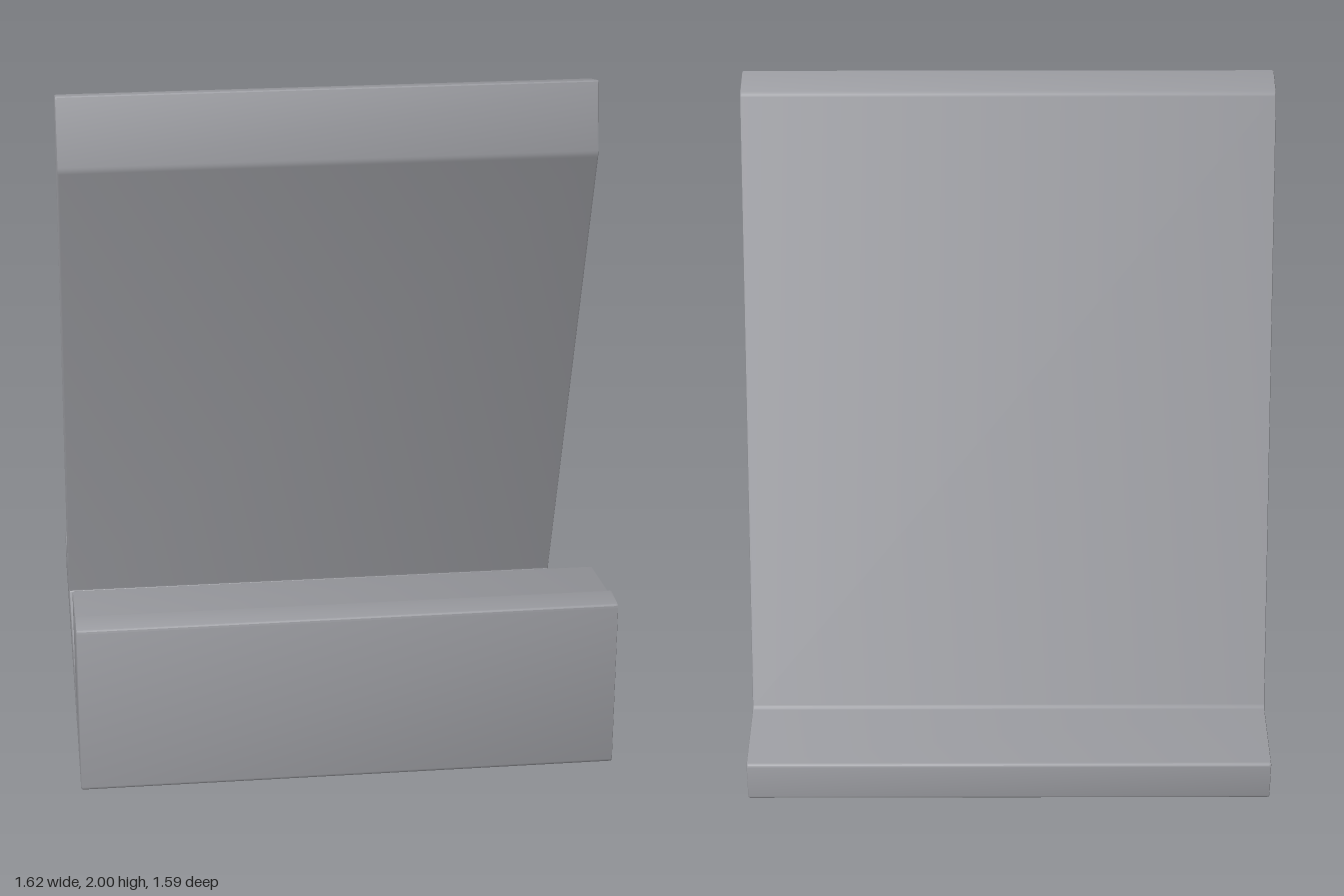
import * as THREE from 'three';
import { toCreasedNormals } from 'three/addons/utils/BufferGeometryUtils.js';

const WIDTH = 1.62;
const BEVEL = 0.006;

// Closed outline whose corners are softened by a small radius
function roundedOutline(points, radius) {
  const shape = new THREE.Shape();
  const v = points.map(([z, y]) => new THREE.Vector2(z, y));
  v.forEach((corner, i) => {
    const prev = v[(i + v.length - 1) % v.length];
    const next = v[(i + 1) % v.length];
    const toward = (p) => {
      const d = p.clone().sub(corner);
      return d.setLength(Math.min(radius, d.length() * 0.4)).add(corner);
    };
    const a = toward(prev);
    const b = toward(next);
    if (i === 0) shape.moveTo(a.x, a.y);
    else shape.lineTo(a.x, a.y);
    shape.quadraticCurveTo(corner.x, corner.y, b.x, b.y);
  });
  shape.closePath();
  return shape;
}

export function createModel() {
  const group = new THREE.Group();
  group.name = 'deviceStand';
  const grey = new THREE.MeshStandardMaterial({ color: 0x9b9ca1 });
  grey.name = 'grey';

  // Side outline as [z, y], one solid piece
  const base = [[-0.795, 0.135], [-0.795, 0], [0.795, 0]];
  const frontLedge = [[0.795, 0.533], [0.688, 0.533], [0.675, 0.511], [0.393, 0.473], [0.393, 0.135]];
  const backrest = [[-0.3, 0.135], [0.275, 1.78], [0.243, 2.001], [0.13, 1.975], [-0.512, 0.135]];
  const outline = roundedOutline([...base, ...frontLedge, ...backrest], 0.011);

  // Extruded across the width with slightly eased side edges
  const geometry = new THREE.ExtrudeGeometry(outline, {
    depth: WIDTH - 2 * BEVEL,
    curveSegments: 3,
    bevelEnabled: true,
    bevelThickness: BEVEL,
    bevelSize: BEVEL,
    bevelOffset: -BEVEL,
    bevelSegments: 2,
  });
  geometry.translate(0, 0, BEVEL - WIDTH / 2);
  geometry.rotateY(-Math.PI / 2);

  const body = new THREE.Mesh(toCreasedNormals(geometry, 0.6), grey);
  body.name = 'standBody';
  group.add(body);
  return group;
}
